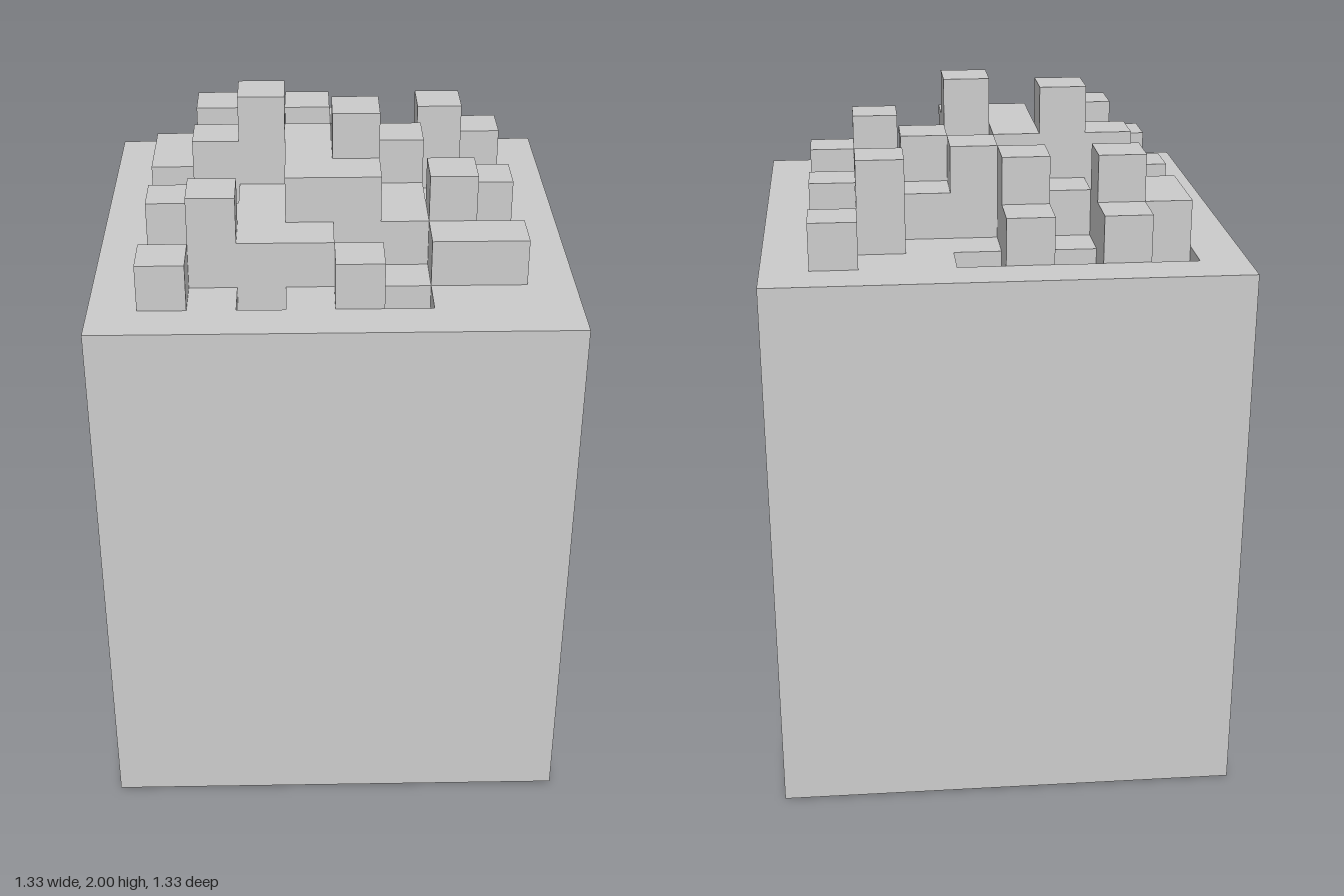
import * as THREE from 'three';

const U = 2 / 15; // edge of one cube
const N = 8; // cells across the stepped field

// Height of every cell above the rim, back row first; -1 is a pit
const HEIGHTS = [
  [-1, 1, -1, 1, -1, 0, 0, 1],
  [1, 2, 0, 2, 0, 0, 2, 0],
  [1, 0, 1, 1, 2, 1, 0, -1],
  [-1, 2, 3, 2, 1, 2, 0, 1],
  [1, 0, 1, 2, 3, 1, 0, -1],
  [0, 1, 1, 2, 2, 1, 2, 0],
  [-1, 2, 1, 1, 0, 0, 1, 1],
  [1, 0, -1, 0, 1, -1, 0, 0],
];

const material = new THREE.MeshStandardMaterial({ color: 0xcccccc, flatShading: true });

// Closed rectangle from one corner, for the rim outline and its holes
function rectangle(PathType, x, y, w, h) {
  return new PathType([
    new THREE.Vector2(x, y),
    new THREE.Vector2(x + w, y),
    new THREE.Vector2(x + w, y + h),
    new THREE.Vector2(x, y + h),
  ]);
}

function addMesh(parent, name, geometry, x, y, z) {
  const mesh = new THREE.Mesh(geometry, material);
  mesh.name = name;
  mesh.position.set(x, y, z);
  parent.add(mesh);
}

export function createModel() {
  const model = new THREE.Group();
  model.name = 'steppedBlock';

  // Solid body, up to the floor of the pits
  addMesh(model, 'body', new THREE.BoxGeometry(10 * U, 11 * U, 10 * U), 0, 5.5 * U, 0);

  // Top slab, pierced by the square pits
  const slab = rectangle(THREE.Shape, -5 * U, -5 * U, 10 * U, 10 * U);
  HEIGHTS.forEach((row, r) => row.forEach((h, c) => {
    if (h < 0) slab.holes.push(rectangle(THREE.Path, (c - 4) * U, (3 - r) * U, U, U));
  }));
  const slabGeometry = new THREE.ExtrudeGeometry(slab, { depth: U, bevelEnabled: false });
  slabGeometry.rotateX(-Math.PI / 2);
  addMesh(model, 'piercedTop', slabGeometry, 0, 11 * U, 0);

  // Raised cubes, layer by layer, neighbours in a row joined into one bar
  for (let level = 1; level <= 3; level++) {
    const layer = new THREE.Group();
    layer.name = `raisedLayer${level}`;
    HEIGHTS.forEach((row, r) => {
      for (let c = 0; c < N; c++) {
        if (row[c] < level) continue;
        const start = c;
        while (c + 1 < N && row[c + 1] >= level) c++;
        const count = c - start + 1;
        addMesh(layer, 'raisedBar', new THREE.BoxGeometry(count * U, U, U),
          (start + count / 2 - 4) * U, (11.5 + level) * U, (r - 3.5) * U);
      }
    });
    model.add(layer);
  }
  return model;
}
